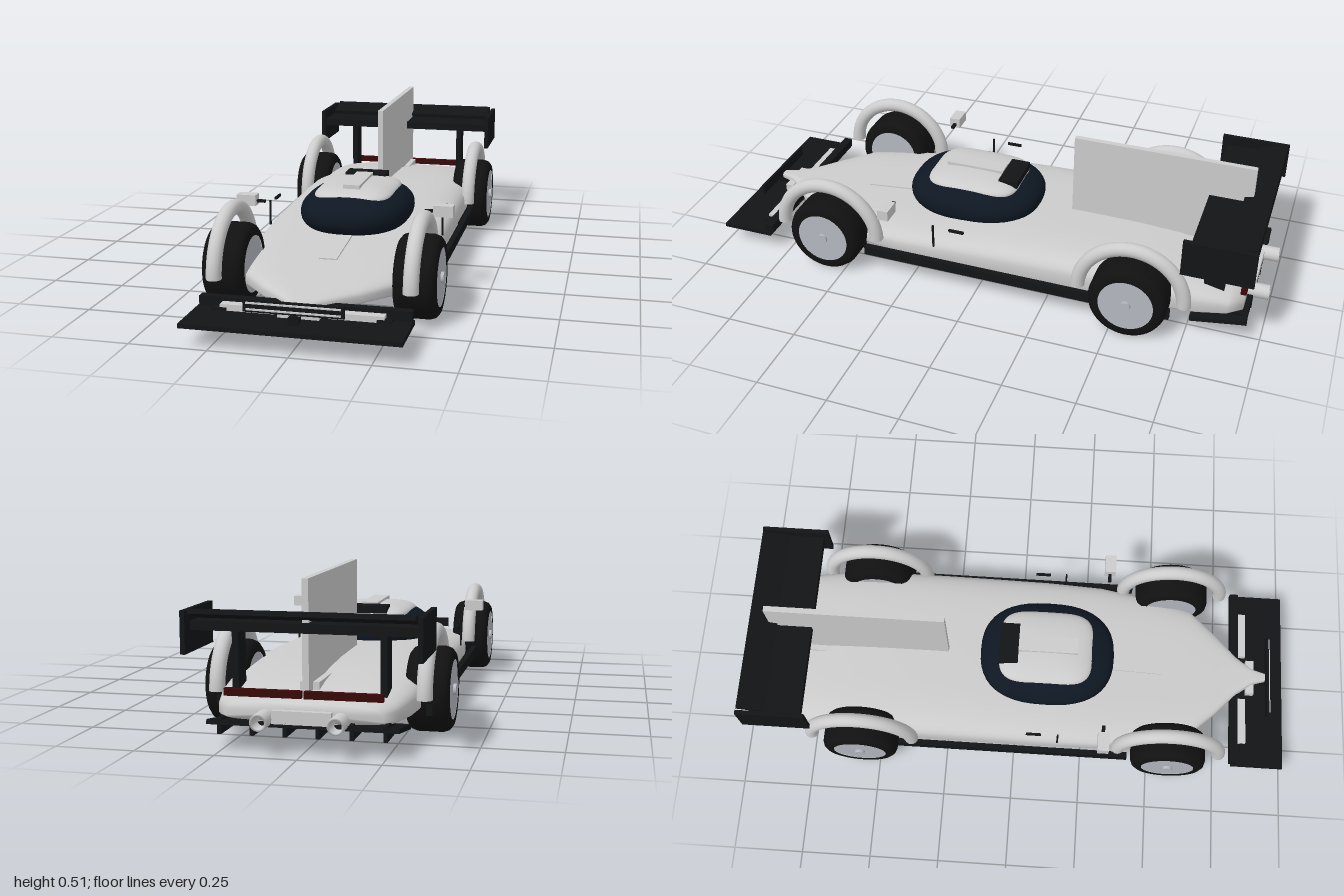
import * as THREE from 'three';

const mat = (color, extra = {}) => new THREE.MeshStandardMaterial({ color, ...extra });
const grey = mat(0xcccccc);
const black = mat(0x121416);
const rubber = mat(0x111111);
const glass = mat(0x0e1722);
const rimGrey = mat(0xb4b8c0);
const red = mat(0x3a0808);

export function createModel() {
  const car = new THREE.Group();
  car.name = 'raceCar';

  const add = (name, geo, material, x = 0, y = 0, z = 0, parent = car) => {
    const m = new THREE.Mesh(geo, material);
    m.name = name;
    m.position.set(x, y, z);
    parent.add(m);
    return m;
  };
  // box given by its limits on each axis
  const box = (name, material, [x0, x1], [y0, y1], [z0, z1]) =>
    add(name, new THREE.BoxGeometry(x1 - x0, y1 - y0, z1 - z0), material,
      (x0 + x1) / 2, (y0 + y1) / 2, (z0 + z1) / 2);
  // the same box on both sides of the car
  const pair = (name, material, [x0, x1], ys, zs) => {
    box(name + 'Left', material, [x0, x1], ys, zs);
    box(name + 'Right', material, [-x1, -x0], ys, zs);
  };
  const spow = (v, e) => Math.sign(v) * Math.abs(v) ** e;

  // skin over superellipse sections: [z, halfWidth, top, bottom], front to back
  function loft(sections, n, e) {
    const pos = [], idx = [];
    sections.forEach(([z, w, top, bottom]) => {
      const mid = bottom + (top - bottom) * 0.4;
      for (let i = 0; i < n; i++) {
        const a = (i / n) * Math.PI * 2, s = Math.sin(a);
        const h = s > 0 ? top - mid : mid - bottom;
        pos.push(w * spow(Math.cos(a), e), mid + h * spow(s, s > 0 ? 0.7 : 0.35), z);
      }
    });
    const rows = sections.length;
    for (let r = 0; r < rows - 1; r++) {
      for (let i = 0; i < n; i++) {
        const a = r * n + i, b = r * n + (i + 1) % n;
        idx.push(a, a + n, b, b, a + n, b + n);
      }
    }
    // end caps
    [0, rows - 1].forEach((r) => {
      const [z, , top, bottom] = sections[r], c = pos.length / 3;
      pos.push(0, (top + bottom) / 2, z);
      for (let i = 0; i < n; i++) {
        const a = r * n + i, b = r * n + (i + 1) % n;
        idx.push(...(r === 0 ? [c, a, b] : [c, b, a]));
      }
    });
    const g = new THREE.BufferGeometry();
    g.setAttribute('position', new THREE.Float32BufferAttribute(pos, 3));
    g.setIndex(idx);
    g.computeVertexNormals();
    return g;
  }

  // body shell
  add('body', loft([
    [0.93, 0.015, 0.12, 0.1], [0.88, 0.03, 0.125, 0.095], [0.82, 0.075, 0.13, 0.088],
    [0.74, 0.16, 0.138, 0.083], [0.64, 0.25, 0.15, 0.08], [0.5, 0.285, 0.163, 0.08],
    [0.3, 0.315, 0.182, 0.08], [0.1, 0.32, 0.2, 0.08], [-0.1, 0.32, 0.21, 0.08],
    [-0.3, 0.32, 0.216, 0.08], [-0.5, 0.32, 0.214, 0.08], [-0.65, 0.315, 0.206, 0.08],
    [-0.78, 0.3, 0.19, 0.08], [-0.88, 0.275, 0.17, 0.085], [-0.93, 0.24, 0.15, 0.095],
  ], 48, 0.45), grey);
  pair('sill', black, [0.325, 0.345], [0.078, 0.113], [-0.7, 0.42]);

  // rounded blob: a sphere pushed toward a box
  function blob(rx, ry, rz, e) {
    const g = new THREE.SphereGeometry(1, 48, 32), p = g.attributes.position;
    for (let i = 0; i < p.count; i++) {
      const y = p.getY(i), r = Math.hypot(p.getX(i), p.getZ(i)) || 1;
      const c = p.getX(i) / r, s = p.getZ(i) / r, k = r ** 0.8;
      p.setXYZ(i, rx * k * spow(c, e), ry * spow(y, 0.9), rz * k * spow(s, e));
    }
    g.computeVertexNormals();
    return g;
  }
  // canopy and roof
  add('canopy', blob(0.195, 0.085, 0.246, 0.8), glass, 0, 0.23, 0.105);
  add('roof', blob(0.14, 0.035, 0.172, 0.5), grey, 0, 0.289, 0.1);
  box('roofVent', black, [-0.075, 0.075], [0.3, 0.326], [-0.07, 0]);
  box('roofStrip', grey, [-0.03, 0.03], [0.318, 0.332], [0, 0.215]);
  const hood = box('hoodStrip', grey, [-0.03, 0.03], [0.16, 0.174], [0.33, 0.54]);
  hood.rotation.x = 0.1;

  // dorsal fin
  box('fin', grey, [-0.01, 0.01], [0.15, 0.513], [-0.895, -0.26]);
  box('tailStrip', grey, [-0.03, 0.03], [0.17, 0.2], [-0.85, -0.7]);

  // wheels: tyre, rim, hub and arched fender
  const tyreProfile = (w) => [
    [0.095, -w], [0.117, -w], [0.13, -w * 0.85], [0.136, -w * 0.6],
    [0.136, w * 0.6], [0.13, w * 0.85], [0.117, w], [0.095, w],
  ].map(([r, y]) => new THREE.Vector2(r, y));
  const axles = [['front', 0.567, 0.312, 0.315], ['rear', -0.56, 0.324, 0.328]];
  for (const [end, z, wx, fx] of axles) {
    for (const s of [1, -1]) {
      const wheel = new THREE.Group();
      wheel.name = end + 'Wheel' + (s > 0 ? 'Left' : 'Right');
      wheel.position.set(s * wx, 0.136, z);
      wheel.rotation.z = -s * Math.PI / 2;
      car.add(wheel);
      add('tyre', new THREE.LatheGeometry(tyreProfile(0.068), 48), rubber, 0, 0, 0, wheel);
      add('rim', new THREE.CylinderGeometry(0.096, 0.096, 0.132, 48), rimGrey, 0, 0, 0, wheel);
      add('hub', new THREE.CylinderGeometry(0.018, 0.018, 0.02, 20), rimGrey, 0, 0.066, 0, wheel);
      const fender = add(end + 'Fender', new THREE.TorusGeometry(0.184, 0.025, 16, 40, Math.PI),
        grey, s * fx, 0.137, z);
      fender.rotation.y = Math.PI / 2;
      // closed fender ends
      for (const d of [1, -1]) {
        const cap = add('fenderEnd', new THREE.CircleGeometry(0.025, 16), grey,
          s * fx, 0.137, z + d * 0.184);
        cap.rotation.x = Math.PI / 2;
      }
    }
  }

  // front splitter with twin side flaps and a slatted nose grille
  box('splitter', black, [-0.34, 0.34], [0.063, 0.077], [0.81, 1]);
  pair('splitterStep', black, [0.05, 0.335], [0.077, 0.108], [0.8, 0.83]);
  pair('splitterFlap', grey, [0.085, 0.257], [0.073, 0.097], [0.83, 0.86]);
  pair('splitterFin', black, [0.235, 0.28], [0.08, 0.087], [0.84, 0.87]);
  box('grille', black, [-0.155, 0.155], [0.109, 0.147], [0.932, 0.94]);
  for (const y of [0.116, 0.136]) box('grilleSlat', grey, [-0.145, 0.145], [y, y + 0.005], [0.938, 0.945]);
  box('noseBlock', grey, [-0.065, 0.065], [0.08, 0.108], [0.86, 0.89]);
  const intake = add('noseIntake', new THREE.CylinderGeometry(0.019, 0.019, 0.03, 6), black, 0, 0.092, 0.93);
  intake.rotation.x = Math.PI / 2;

  // mirrors and small door fittings
  pair('mirror', grey, [0.31, 0.378], [0.27, 0.308], [0.302, 0.342]);
  pair('mirrorStalk', black, [0.28, 0.312], [0.28, 0.289], [0.315, 0.327]);
  pair('doorPost', black, [0.312, 0.318], [0.155, 0.245], [0.157, 0.163]);
  pair('doorHandle', black, [0.31, 0.318], [0.233, 0.242], [0.045, 0.1]);

  // rear wing
  box('wingPlane', black, [-0.345, 0.345], [0.355, 0.383], [-0.92, -0.745]);
  const flap = box('wingFlap', black, [-0.338, 0.338], [0.397, 0.413], [-0.965, -0.865]);
  flap.rotation.x = 0.25;
  pair('wingEndplate', black, [0.345, 0.36], [0.288, 0.418], [-0.965, -0.725]);
  pair('wingStrut', black, [0.217, 0.237], [0.12, 0.36], [-0.86, -0.79]);

  // tail: light bars, exhausts, diffuser with strakes
  pair('tailLight', red, [0.004, 0.24], [0.165, 0.187], [-0.935, -0.915]);
  const diffuser = box('diffuser', black, [-0.29, 0.29], [0.065, 0.08], [-0.95, -0.76]);
  diffuser.rotation.x = 0.16;
  for (let i = 0; i < 6; i++) {
    const x = -0.25 + i * 0.1;
    box('diffuserStrake', black, [x - 0.006, x + 0.006], [0.052, 0.1], [-0.95, -0.83]);
  }
  box('exhaustPlate', grey, [-0.09, 0.09], [0.09, 0.13], [-0.95, -0.91]);
  const pipe = new THREE.LatheGeometry([[0.026, 0], [0.026, 0.14], [0.019, 0.14], [0.019, 0.05], [0, 0.05]]
    .map(([r, y]) => new THREE.Vector2(r, y)), 24);
  for (const s of [1, -1]) {
    const m = add('exhaust', pipe, grey, s * 0.115, 0.103, -0.86);
    m.rotation.x = -Math.PI / 2;
  }
  return car;
}
